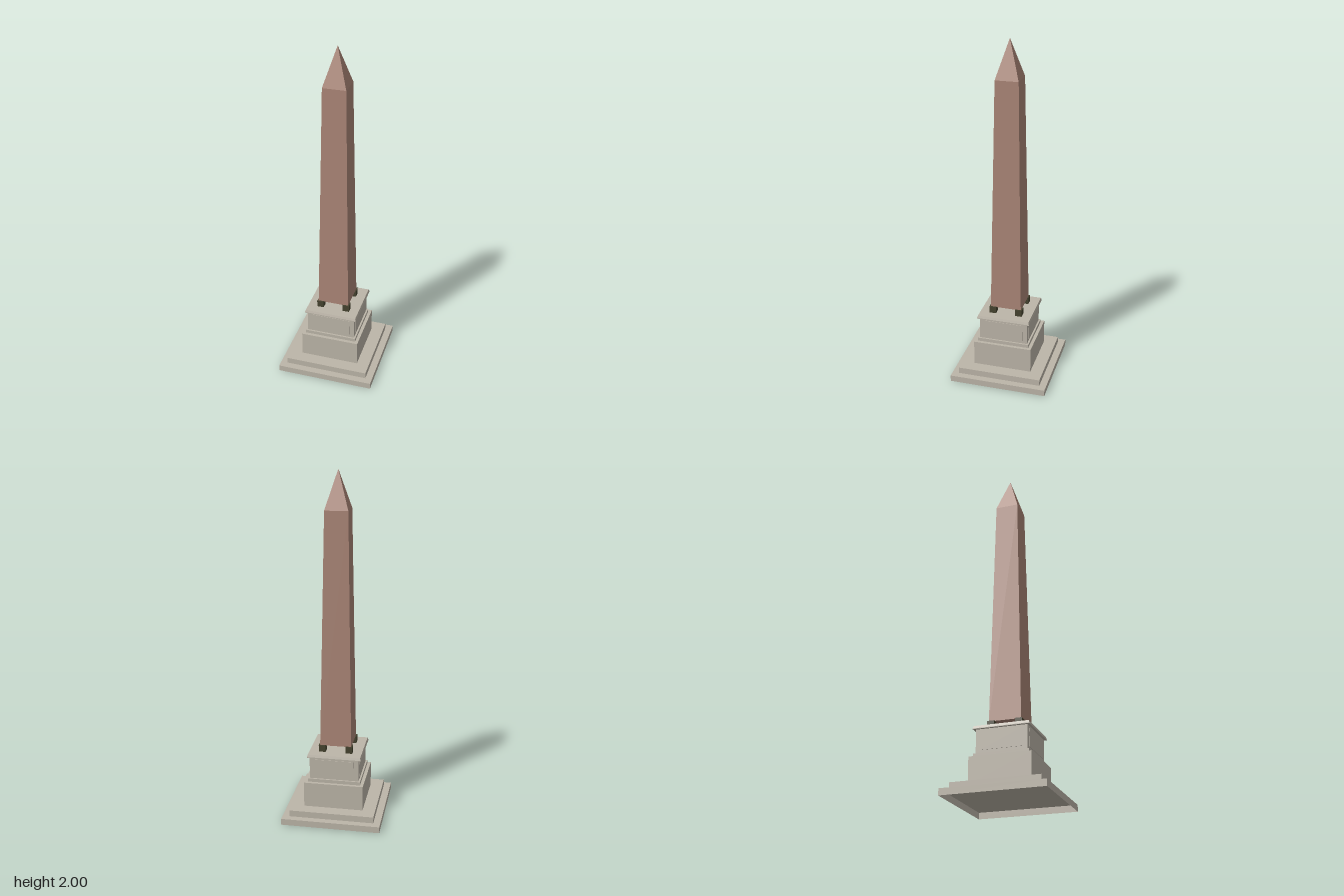
import * as THREE from 'three';

const stone = new THREE.MeshStandardMaterial({ color: 0xbcb5a8, side: THREE.DoubleSide });
stone.name = 'paleStone';
const granite = new THREE.MeshStandardMaterial({ color: 0xaa8576 });
granite.name = 'redGranite';
const bronze = new THREE.MeshStandardMaterial({ color: 0x45432f });
bronze.name = 'darkBronze';

// Square block between two heights, with half-widths at its foot and its head
function block(name, y0, y1, half0, half1, material, open = false) {
  let geo = new THREE.CylinderGeometry(half1 * Math.SQRT2, half0 * Math.SQRT2, y1 - y0, 4, 1, open);
  geo.rotateY(Math.PI / 4);
  geo = geo.toNonIndexed();
  geo.computeVertexNormals();
  const mesh = new THREE.Mesh(geo, material);
  mesh.name = name;
  mesh.position.y = (y0 + y1) / 2;
  return mesh;
}

export function createModel() {
  const model = new THREE.Group();
  model.name = 'obelisk';

  // Lowest step: four walls and a deck, hollow underneath
  const deck = new THREE.Mesh(new THREE.PlaneGeometry(0.57, 0.57), stone);
  deck.name = 'lowerStepDeck';
  deck.rotation.x = -Math.PI / 2;
  deck.position.y = 0.037;
  model.add(block('lowerStepWalls', 0, 0.037, 0.285, 0.285, stone, true), deck);

  // Stepped pedestal
  model.add(
    block('upperStep', 0.037, 0.074, 0.245, 0.245, stone),
    block('plinth', 0.074, 0.222, 0.172, 0.172, stone),
    block('plinthMoulding', 0.222, 0.242, 0.153, 0.153, stone),
    block('die', 0.242, 0.374, 0.143, 0.143, stone),
    block('corniceEdge', 0.374, 0.378, 0.157, 0.157, stone),
    block('corniceSlope', 0.378, 0.392, 0.157, 0.1525, stone),
  );

  // Shallow panel on each face of the die
  for (let i = 0; i < 4; i++) {
    const side = new THREE.Group();
    side.name = 'diePanel';
    const panel = new THREE.Mesh(new THREE.BoxGeometry(0.23, 0.1, 0.005), stone);
    panel.name = 'panel';
    panel.position.set(0, 0.31, 0.143);
    side.add(panel);
    side.rotation.y = i * Math.PI / 2;
    model.add(side);
  }

  // Corner feet carrying the shaft
  for (const x of [-1, 1]) {
    for (const z of [-1, 1]) {
      const foot = block('foot', 0.392, 0.432, 0.02, 0.02, bronze);
      foot.position.x = x * 0.078;
      foot.position.z = z * 0.078;
      model.add(foot);
    }
  }

  // Tapered shaft and pointed cap
  model.add(
    block('shaft', 0.43, 1.785, 0.091, 0.066, granite),
    block('pyramidion', 1.785, 2, 0.066, 0.0001, granite),
  );

  // The whole monument stands turned on its site
  model.rotation.y = -THREE.MathUtils.degToRad(38.2);
  const root = new THREE.Group();
  root.name = 'monument';
  root.add(model);
  return root;
}
